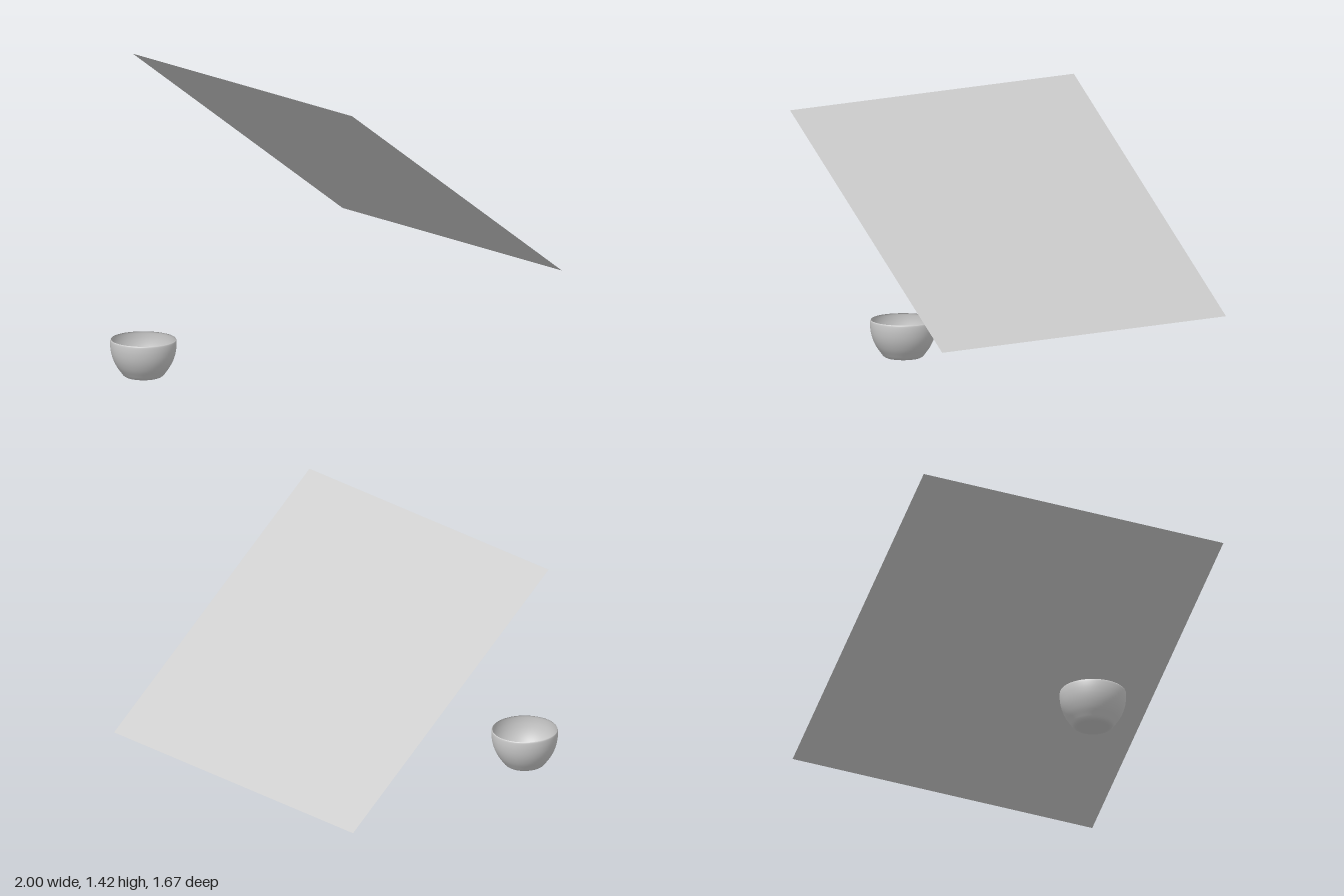
import * as THREE from 'three';

const material = new THREE.MeshStandardMaterial({ color: 0xcccccc, side: THREE.DoubleSide });

// Thin round bowl: flat foot, flared lower wall, almost upright rim
function createBowl() {
  const wall = new THREE.SplineCurve([
    [0.085, 0], [0.098, 0.007], [0.112, 0.025], [0.131, 0.052], [0.147, 0.084],
    [0.157, 0.115], [0.162, 0.145], [0.163, 0.168], [0.162, 0.183], [0.159, 0.187],
  ].map(([r, y]) => new THREE.Vector2(r, y)));
  const profile = [new THREE.Vector2(0, 0), new THREE.Vector2(0.08, 0), ...wall.getPoints(27)];
  const bowl = new THREE.Mesh(new THREE.LatheGeometry(profile, 64), material);
  bowl.name = 'bowl';
  bowl.position.set(-0.836, 0, -0.163);
  return bowl;
}

// Flat rectangular sheet floating beside the bowl, sloping down toward +x
function createPanel() {
  const run = 1.34, drop = 0.99, depth = 1.67;
  const geometry = new THREE.PlaneGeometry(Math.hypot(run, drop), depth);
  geometry.rotateX(-Math.PI / 2);
  const panel = new THREE.Mesh(geometry, material);
  panel.name = 'slopingPanel';
  panel.rotation.z = -Math.atan2(drop, run);
  panel.position.set(0.33, 0.925, 0);
  return panel;
}

export function createModel() {
  const model = new THREE.Group();
  model.name = 'bowlAndPanel';
  model.add(createBowl(), createPanel());
  return model;
}
